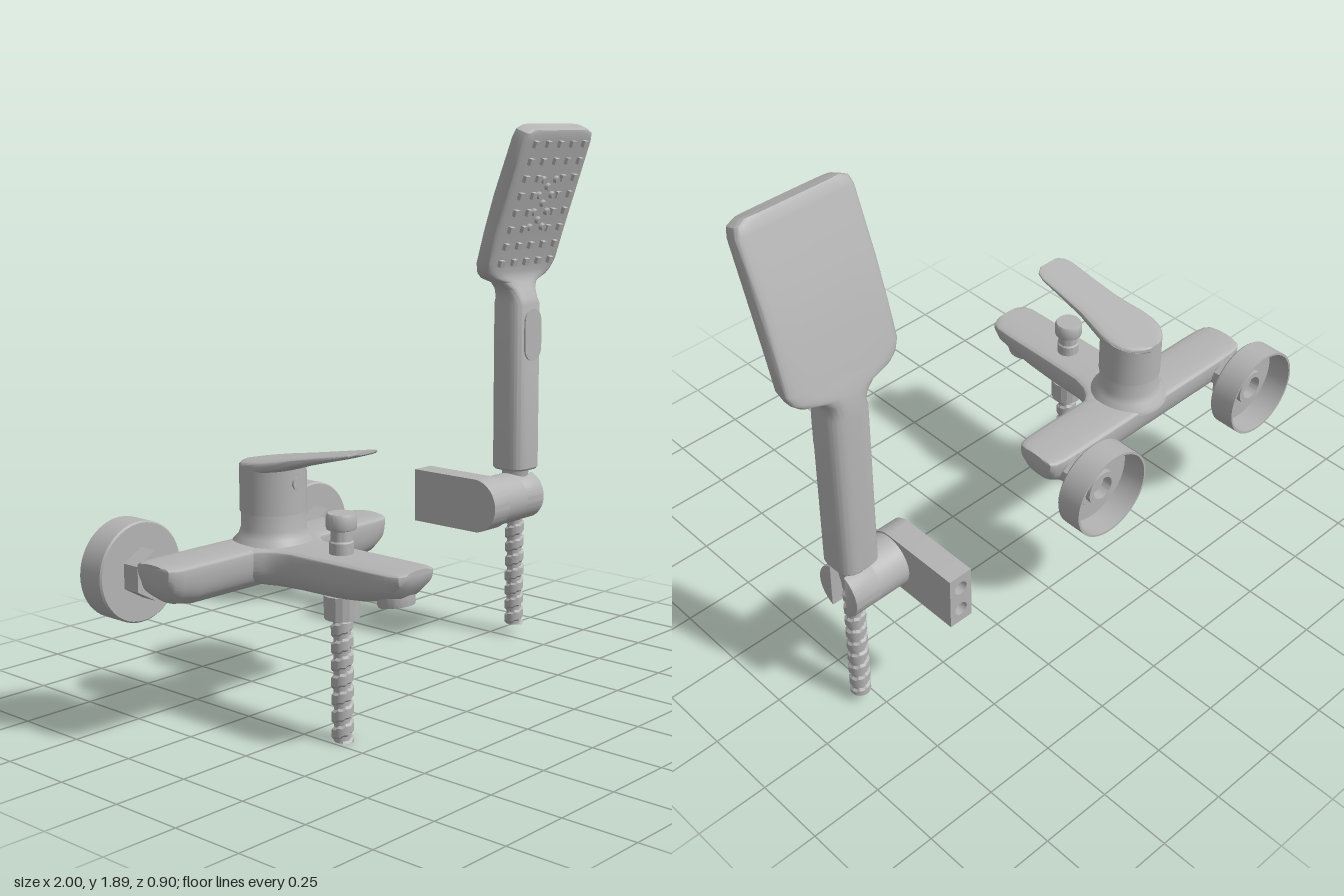
import * as THREE from 'three';
import { toCreasedNormals, mergeVertices } from 'three/addons/utils/BufferGeometryUtils.js';

const metal = new THREE.MeshStandardMaterial({ color: 0xb4b4b4 });
metal.name = 'grey metal';
const V = (x, y, z) => new THREE.Vector3(x, y, z);

function add(parent, name, geo, x = 0, y = 0, z = 0, rx = 0, rz = 0) {
  const m = new THREE.Mesh(geo, metal);
  m.name = name;
  m.position.set(x, y, z);
  m.rotation.set(rx, 0, rz);
  parent.add(m);
  return m;
}

// Capped skin through superellipse rings {c, u, v, p, up}; u x v points along the path.
// "up" scales the +v half, giving a flat-topped section.
function loft(rings, n = 48) {
  const pos = [], idx = [];
  rings.forEach(({ c, u, v, p = 3, up = 1 }) => {
    for (let j = 0; j < n; j++) {
      const a = (j / n) * Math.PI * 2, co = Math.cos(a), si = Math.sin(a);
      const f = (t) => Math.sign(t) * Math.pow(Math.abs(t), 2 / p);
      const q = c.clone().addScaledVector(u, f(co)).addScaledVector(v, f(si) * (si > 0 ? up : 1));
      pos.push(q.x, q.y, q.z);
    }
  });
  const last = rings.length - 1, c0 = pos.length / 3;
  [rings[0].c, rings[last].c].forEach((c) => pos.push(c.x, c.y, c.z));
  for (let j = 0; j < n; j++) {
    const k = (j + 1) % n;
    for (let i = 0; i < last; i++) {
      const a = i * n + j, b = i * n + k;
      idx.push(a, b, a + n, b, b + n, a + n);
    }
    idx.push(c0, k, j, c0 + 1, last * n + j, last * n + k);
  }
  const g = new THREE.BufferGeometry();
  g.setAttribute('position', new THREE.Float32BufferAttribute(pos, 3));
  g.setIndex(idx);
  return toCreasedNormals(g, 0.6);
}

const lathe = (pts, n = 48) =>
  toCreasedNormals(new THREE.LatheGeometry(pts.map(([r, y]) => new THREE.Vector2(r, y)), n), 0.6);
const cyl = (r1, r2, h, n = 40) => new THREE.CylinderGeometry(r1, r2, h, n);

// Cylinder with a spiral groove
function hose(h) {
  const g = new THREE.CylinderGeometry(0.035, 0.035, h, 24, Math.round(h / 0.007));
  const p = g.attributes.position;
  for (let i = 0; i < p.count; i++) {
    const x = p.getX(i), z = p.getZ(i), y = p.getY(i);
    if (Math.hypot(x, z) < 0.01) continue;
    const s = Math.sin(Math.atan2(z, x) + (y * Math.PI * 2) / 0.055);
    const k = s < -0.35 ? 0.78 : 1;
    p.setX(i, x * k);
    p.setZ(i, z * k);
  }
  return toCreasedNormals(mergeVertices(g), 0.5);
}

function stadium(w, h) {
  const r = w / 2, s = new THREE.Shape();
  s.absarc(0, h / 2 - r, r, 0, Math.PI);
  s.absarc(0, r - h / 2, r, Math.PI, Math.PI * 2);
  return s;
}

function buildMixer() {
  const g = new THREE.Group();
  g.name = 'mixer';
  const cx = -0.46, top = 0.585;

  // Crossbar with boat-shaped ends, [distance from middle, half depth, drop]
  const end = [[0.48, 0.05, 0.02], [0.476, 0.07, 0.055], [0.46, 0.082, 0.088], [0.425, 0.088, 0.112], [0.36, 0.09, 0.125]];
  const bar = [...end.map(([d, w, h]) => [-d, w, h]), ...end.map(([d, w, h]) => [d, w, h]).reverse()];
  add(g, 'crossbar', loft(bar.map(([d, w, h]) => ({
    c: V(cx + d, top, -0.19), u: V(0, 0, -w), v: V(0, h, 0), p: 2.6, up: 0.015 / h,
  }))));

  // Spout flaring into the bar, [z, half width, drop]
  const spout = [[-0.2, 0.2, 0.115], [-0.11, 0.165, 0.12], [-0.085, 0.13, 0.122], [-0.05, 0.106, 0.124], [0, 0.092, 0.124],
    [0.15, 0.09, 0.122], [0.25, 0.09, 0.112], [0.34, 0.09, 0.095], [0.4, 0.088, 0.075], [0.43, 0.078, 0.045], [0.442, 0.055, 0.015]];
  add(g, 'spout', loft(spout.map(([z, w, h]) => ({
    c: V(cx, top, z), u: V(w, 0, 0), v: V(0, h, 0), p: 2.6, up: 0.015 / h,
  }))));
  add(g, 'outlet', lathe([[0, 0.01], [0.042, 0.01], [0.042, -0.02], [0.055, -0.02], [0.058, -0.012], [0.058, 0.03]]), cx, 0.497, 0.352, -0.15);

  // Cartridge column, cap with a sloping top, and lever
  add(g, 'column', lathe([[0.135, 0.58], [0.13, 0.598], [0.112, 0.615], [0.103, 0.64], [0.101, 0.73], [0.092, 0.733], [0.092, 0.75]]), cx, 0, -0.165);
  const slope = (z) => 0.845 + 0.165 * (z + 0.27);
  const cap = cyl(0.106, 0.106, 0.1);
  const cp = cap.attributes.position;
  for (let i = 0; i < cp.count; i++) if (cp.getY(i) > 0) cp.setY(i, slope(cp.getZ(i) - 0.165) - 0.015 - 0.742);
  cap.computeVertexNormals();
  add(g, 'cap', toCreasedNormals(cap.translate(0, 0, 0), 0.6), cx, 0.742, -0.165).geometry;
  cap.translate(0, 0, 0);
  add(g, 'capBase', cyl(0.106, 0.106, 0.06), cx, 0.772, -0.165);
  const lever = [[-0.272, 0.02, 0.02], [-0.262, 0.045, 0.026], [-0.24, 0.075, 0.034], [-0.21, 0.096, 0.04], [-0.165, 0.106, 0.045],
    [-0.12, 0.104, 0.048], [-0.06, 0.092, 0.045], [0, 0.082, 0.036], [0.1, 0.077, 0.026], [0.19, 0.074, 0.018], [0.22, 0.064, 0.014], [0.235, 0.042, 0.009]];
  add(g, 'lever', loft(lever.map(([z, w, h]) => ({
    c: V(cx, slope(z) - h / 2, z), u: V(w, 0, 0), v: V(0, h / 2, 0), p: 3.5,
  }))));
  add(g, 'leverScrew', cyl(0.02, 0.02, 0.01, 20), cx, 0.79, -0.059, Math.PI / 2);

  // Diverter knob above the spout, nut and hose below
  add(g, 'diverterKnob', lathe([[0.038, 0.59], [0.038, 0.635], [0.034, 0.64], [0.034, 0.672], [0.046, 0.676], [0.048, 0.682], [0.048, 0.716], [0.043, 0.725], [0, 0.725]]), cx, 0, 0.13);
  const nut = cyl(0.057, 0.055, 0.075, 16).toNonIndexed();
  nut.computeVertexNormals();
  add(g, 'hoseNut', nut, cx, 0.433, 0.13);
  add(g, 'spoutHose', hose(0.42), cx, 0.21, 0.13);

  // Wall unions with hollow rosettes; the lathe axis runs towards the front
  for (const x of [-0.84, -0.08]) {
    const u = new THREE.Group();
    u.name = 'wallUnion';
    u.position.set(x, 0.53, -0.455);
    u.rotation.x = Math.PI / 2;
    g.add(u);
    add(u, 'rosette', lathe([[0.04, 0.088], [0.152, 0.088], [0.152, 0], [0.16, 0], [0.16, 0.092], [0.155, 0.098], [0.04, 0.098]]));
    add(u, 'inletRing', lathe([[0, 0.08], [0.042, 0.08], [0.042, 0.045], [0.062, 0.045], [0.062, 0.065], [0.08, 0.065], [0.08, 0.09]]));
    const hex = cyl(0.08, 0.08, 0.064, 6).toNonIndexed();
    hex.computeVertexNormals();
    add(u, 'unionNut', hex, 0, 0.13, 0);
    add(u, 'unionNeck', cyl(0.056, 0.056, 0.1), 0, 0.18, 0);
  }
  return g;
}

function buildHolder() {
  const g = new THREE.Group();
  g.name = 'wallHolder';
  const y = 0.53, z = -0.173, r = 0.097;
  // Arm: side outline swept across its thickness
  const s = new THREE.Shape();
  s.moveTo(0.25, -r);
  s.lineTo(0.25, r);
  s.lineTo(0, r);
  s.absarc(0, 0, r, Math.PI / 2, Math.PI * 1.5);
  const arm = new THREE.ExtrudeGeometry(s, { depth: 0.087, bevelEnabled: false, curveSegments: 32 });
  add(g, 'arm', toCreasedNormals(arm, 0.6), 0.553, y, z).rotation.y = Math.PI / 2;
  // Wall face with two screw holes
  const f = new THREE.Shape([[-0.0435, -r], [0.0435, -r], [0.0435, r], [-0.0435, r]].map((q) => new THREE.Vector2(...q)));
  for (const hy of [-0.045, 0.045]) f.holes.push(new THREE.Path().absarc(0, hy, 0.024, 0, Math.PI * 2, true));
  add(g, 'wallFace', new THREE.ExtrudeGeometry(f, { depth: 0.034, bevelEnabled: false }), 0.5965, y, -0.455);
  // Swivel and its slotted fork
  add(g, 'swivel', cyl(0.091, 0.091, 0.12), 0.695, y, z, 0, Math.PI / 2);
  const a = Math.asin(0.038 / 0.091);
  for (const side of [0, Math.PI]) {
    const c = new THREE.Shape();
    c.absarc(0, 0, 0.087, side - Math.PI / 2 + a, side + Math.PI / 2 - a);
    const jaw = new THREE.ExtrudeGeometry(c, { depth: 0.094, bevelThickness: 0.004, bevelSize: 0.004, bevelSegments: 2, curveSegments: 24 });
    add(g, 'forkJaw', toCreasedNormals(jaw, 0.6), 0.754, y, z).rotation.y = Math.PI / 2;
  }
  return g;
}

function buildHandset() {
  const g = new THREE.Group();
  g.name = 'handset';
  const cx = 0.793;
  // Handle, neck and head: [front y, front z, back y, back z, half width, squareness]
  const rows = [[0.635, -0.105, 0.635, -0.24, 0.067, 3.2], [0.642, -0.1, 0.642, -0.245, 0.0725, 3.2],
    [1.245, -0.1, 1.245, -0.245, 0.0725, 3.2], [1.268, -0.108, 1.268, -0.243, 0.067, 3], [1.3, -0.126, 1.3, -0.24, 0.078, 3],
    [1.325, -0.142, 1.325, -0.235, 0.105, 3.2], [1.345, -0.15, 1.345, -0.23, 0.165, 4], [1.365, -0.149, 1.365, -0.224, 0.188, 5],
    [1.4, -0.14, 1.4, -0.214, 0.2025, 6], [1.5, -0.105, 1.515, -0.182, 0.2025, 6], [1.63, -0.058, 1.65, -0.138, 0.2025, 6],
    [1.74, -0.019, 1.765, -0.092, 0.2025, 6], [1.825, 0.011, 1.85, -0.058, 0.2025, 6], [1.853, 0.021, 1.877, -0.047, 0.194, 6],
    [1.866, 0.022, 1.889, -0.038, 0.165, 6]];
  add(g, 'handleAndHead', loft(rows.map(([yf, zf, yb, zb, w, p]) => ({
    c: V(cx, (yf + yb) / 2, (zf + zb) / 2), u: V(w, 0, 0), v: V(0, (yb - yf) / 2, (zb - zf) / 2), p,
  })), 64));

  // Button on the handle
  const b = new THREE.ExtrudeGeometry(stadium(0.095, 0.19), { depth: 0.006, bevelEnabled: false, curveSegments: 16 });
  add(g, 'button', toCreasedNormals(b, 0.6), cx, 1.135, -0.102);

  // Spray nozzles on the tilted face
  const face = new THREE.Group();
  face.name = 'sprayFace';
  face.position.set(cx, 1.61, -0.066);
  face.rotation.x = 0.341;
  g.add(face);
  for (let row = 0; row < 8; row++) {
    for (let col = -2; col <= 2; col++) {
      if (col === 0 && row > 1 && row < 6) continue;
      add(face, 'squareNozzle', new THREE.BoxGeometry(0.024, 0.024, 0.024), col * 0.071, (row - 3.5) * 0.0635, 0.002);
    }
  }
  for (let i = -2; i <= 2; i++) {
    for (const x of i % 2 ? [-0.037, 0.037] : [0]) {
      add(face, 'roundNozzle', cyl(0.012, 0.015, 0.024, 14), x, i * 0.0318, 0.002, Math.PI / 2);
    }
  }
  for (const x of [-0.037, 0.037]) for (const y of [-0.09, 0.09]) {
    add(face, 'roundNozzle', cyl(0.012, 0.015, 0.024, 14), x, y, 0.002, Math.PI / 2);
  }

  // Hose connector and hose
  add(g, 'connector', cyl(0.052, 0.036, 0.1), cx, 0.59, -0.173);
  add(g, 'handsetHose', hose(0.52), cx, 0.3, -0.173);
  return g;
}

export function createModel() {
  const model = new THREE.Group();
  model.name = 'bathShowerMixer';
  model.add(buildMixer(), buildHolder(), buildHandset());
  return model;
}
